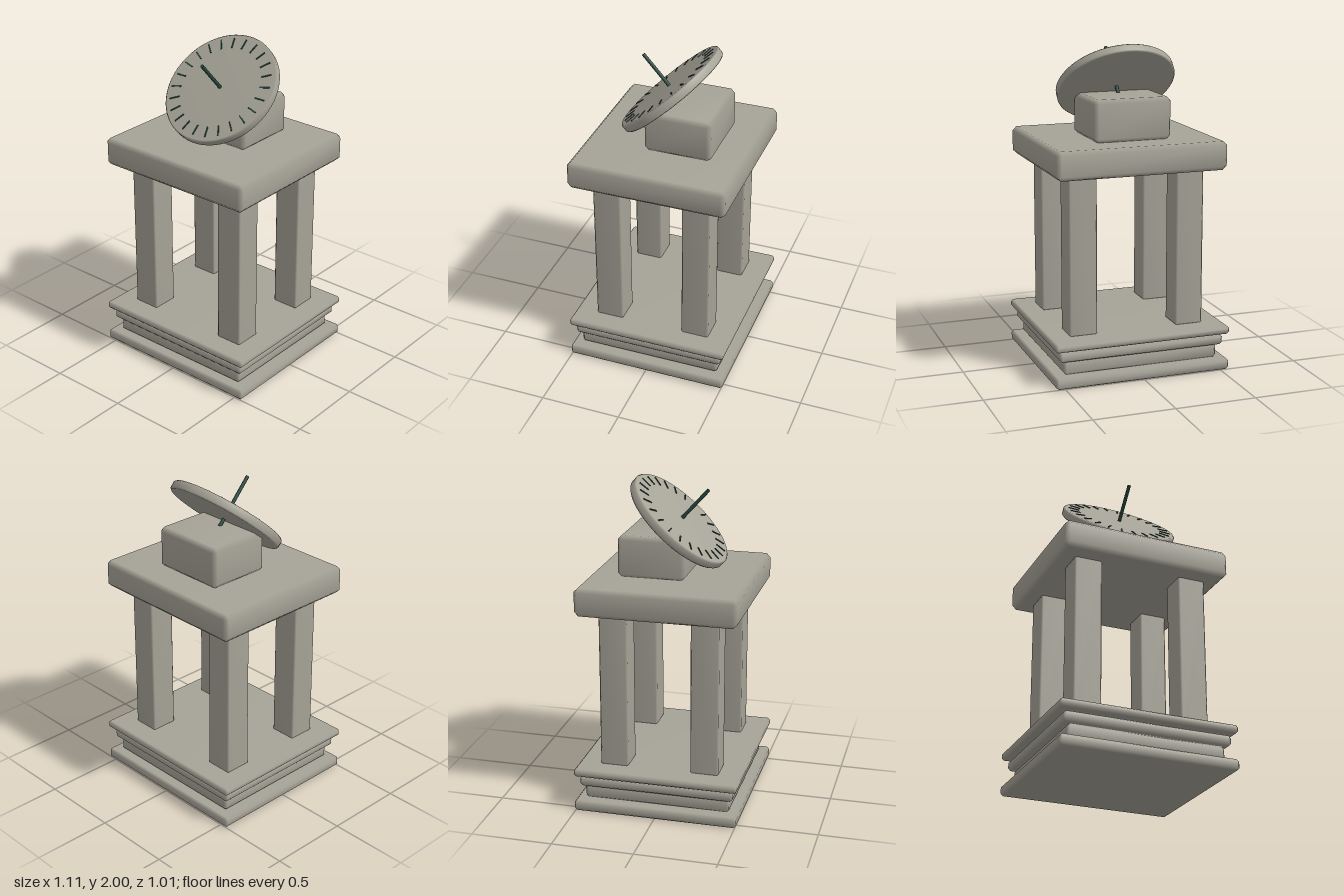
import * as THREE from 'three';
import { mergeVertices } from 'three/addons/utils/BufferGeometryUtils.js';
import { ConvexGeometry } from 'three/addons/geometries/ConvexGeometry.js';

// Box with chamfered edges and corners, shaded smoothly across the chamfers
function chamferBox(w, h, d, c) {
  const pts = [];
  const [x, y, z] = [w / 2, h / 2, d / 2];
  for (const i of [-1, 1]) for (const j of [-1, 1]) for (const k of [-1, 1]) {
    pts.push(new THREE.Vector3(i * x, j * (y - c), k * (z - c)));
    pts.push(new THREE.Vector3(i * (x - c), j * y, k * (z - c)));
    pts.push(new THREE.Vector3(i * (x - c), j * (y - c), k * z));
  }
  let geo = new ConvexGeometry(pts);
  geo.deleteAttribute('normal');
  geo = mergeVertices(geo, 1e-4);
  geo.computeVertexNormals();
  return geo;
}

export function createModel() {
  const model = new THREE.Group();
  model.name = 'sundial';
  const stone = new THREE.MeshStandardMaterial({ color: 0xa6a397 });
  stone.name = 'stone';
  const bronze = new THREE.MeshStandardMaterial({ color: 0x28473f });
  bronze.name = 'darkBronze';

  function add(parent, name, geo, mat, x = 0, y = 0, z = 0) {
    const mesh = new THREE.Mesh(geo, mat);
    mesh.name = name;
    mesh.position.set(x, y, z);
    parent.add(mesh);
    return mesh;
  }
  function block(name, w, d, y0, y1, c, x = 0, z = 0) {
    add(model, name, chamferBox(w, y1 - y0, d, c), stone, x, (y0 + y1) / 2, z);
  }

  // Stepped base
  block('baseSlab', 1.11, 1.014, 0, 0.068, 0.015);
  block('lowerStep', 0.98, 0.9, 0.068, 0.155, 0.015);
  block('upperStep', 1.045, 0.954, 0.155, 0.218, 0.015);
  block('floorSlab', 1.11, 1.014, 0.228, 0.277, 0.013);

  // Four square columns
  for (const sx of [-1, 1]) for (const sz of [-1, 1]) {
    block('column', 0.174, 0.174, 0.272, 1.255, 0.01, sx * 0.34, sz * 0.282);
  }

  // Table top and the block carrying the dial
  block('tableTop', 1.066, 0.982, 1.25, 1.425, 0.026);
  block('dialBlock', 0.484, 0.416, 1.422, 1.682, 0.026, 0, -0.096);

  // Tilted dial: everything in it is built around its own vertical axis
  const dial = new THREE.Group();
  dial.name = 'dial';
  dial.position.set(0, 1.735, 0.021);
  dial.rotation.x = THREE.MathUtils.degToRad(42);
  model.add(dial);

  const r = 0.368, h = 0.028, b = 0.009;
  const profile = [[0, -h], [r - b, -h], [r, -h + b], [r, h - b], [r - b, h], [0, h]]
    .map(([x, y]) => new THREE.Vector2(x, y));
  add(dial, 'dialPlate', new THREE.LatheGeometry(profile, 64), stone);

  // Hour marks
  const markGeo = new THREE.BoxGeometry(0.066, 0.008, 0.008);
  for (let i = 0; i < 24; i++) {
    const a = i * Math.PI / 12;
    const mark = add(dial, 'hourMark', markGeo, bronze, 0.303 * Math.cos(a), h + 0.001, -0.303 * Math.sin(a));
    mark.rotation.y = a;
  }

  // Pointer rod passing through the plate
  add(dial, 'gnomon', new THREE.CylinderGeometry(0.011, 0.011, 0.345, 16), bronze, 0, 0.095, 0);

  return model;
}
